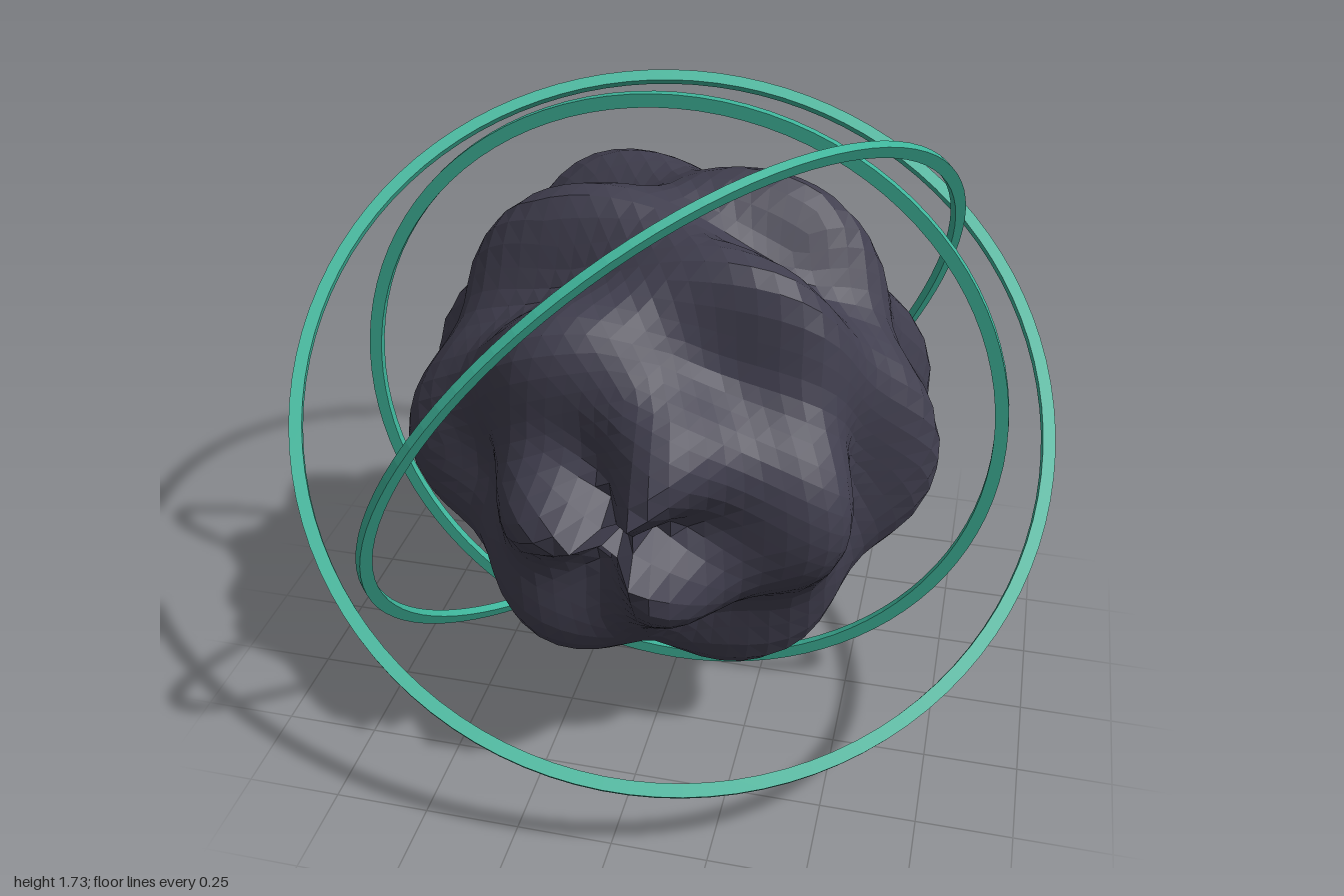
import * as THREE from 'three';

const CENTRE_Y = 0.867;

const darkStone = new THREE.MeshStandardMaterial({ color: 0x403e4e, flatShading: true });
darkStone.name = 'dark stone';
const tealMetal = new THREE.MeshStandardMaterial({ color: 0x3eb49a, flatShading: true });
tealMetal.name = 'teal metal';

// Faceted ball rippled by three waves around z times waves along z, dimpled at both ends
function rippledCore(radius, depth) {
  const geometry = new THREE.IcosahedronGeometry(1, 15);
  const position = geometry.attributes.position;
  const v = new THREE.Vector3();
  for (let i = 0; i < position.count; i++) {
    v.fromBufferAttribute(position, i).normalize();
    const atPole = Math.hypot(v.x, v.y) < 1e-4;
    const wave = atPole ? -1 : Math.cos(3 * Math.atan2(v.y, v.x)) * Math.sin(11 * v.z);
    v.multiplyScalar(radius + depth * wave);
    position.setXYZ(i, v.x, v.y, v.z);
  }
  geometry.computeVertexNormals();
  return new THREE.Mesh(geometry, darkStone);
}

// Flat hoop of rectangular section whose axis points along the given direction
function hoop(outer, axis) {
  const inner = outer - 0.034;
  const half = 0.011;
  const section = [
    [outer, -half], [outer, half], [inner, half], [inner, -half], [outer, -half],
  ].map(([x, y]) => new THREE.Vector2(x, y));
  const mesh = new THREE.Mesh(new THREE.LatheGeometry(section, 96), tealMetal);
  mesh.quaternion.setFromUnitVectors(
    new THREE.Vector3(0, 1, 0),
    new THREE.Vector3(...axis).normalize()
  );
  return mesh;
}

export function createModel() {
  const model = new THREE.Group();
  model.name = 'ringedCore';

  const core = rippledCore(0.628, 0.082);
  core.name = 'core';
  model.add(core);

  // Three nested hoops, each larger and tilted differently
  const hoops = [
    ['innerRing', 0.867, [0, 0, 1]],
    ['middleRing', 0.945, [0.69, -0.46, 0.55]],
    ['outerRing', 1.02, [0.2, 0.77, 0.605]],
  ];
  for (const [name, outer, axis] of hoops) {
    const ring = hoop(outer, axis);
    ring.name = name;
    model.add(ring);
  }

  for (const part of model.children) part.position.y = CENTRE_Y;
  return model;
}
